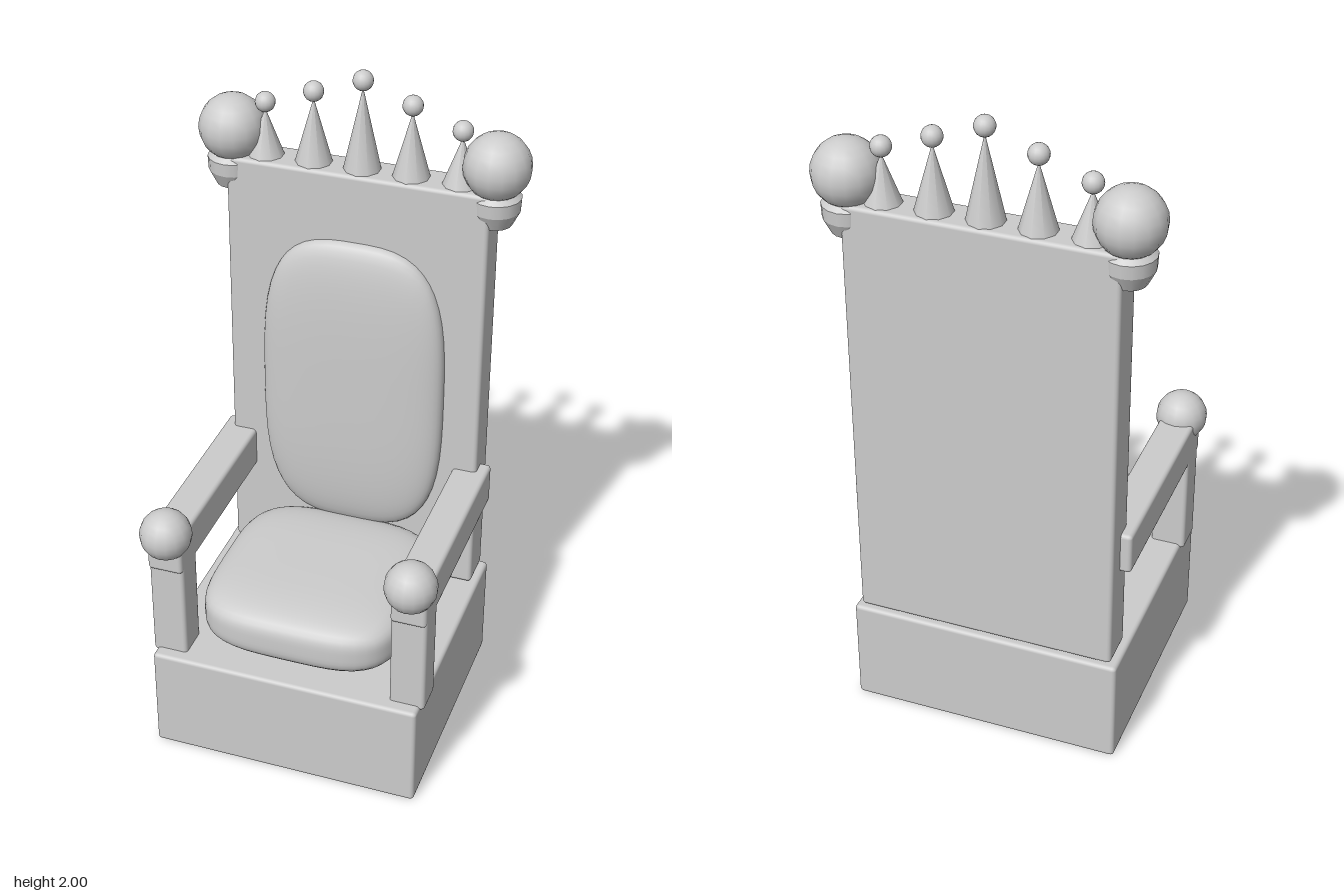
import * as THREE from 'three';
import { mergeVertices } from 'three/addons/utils/BufferGeometryUtils.js';
import { RoundedBoxGeometry } from 'three/addons/geometries/RoundedBoxGeometry.js';

const stone = new THREE.MeshStandardMaterial({ color: 0xcccccc });
stone.name = 'stoneGrey';

export function createModel() {
  const throne = new THREE.Group();
  throne.name = 'throne';

  const add = (name, geometry, x = 0, y = 0, z = 0) => {
    const mesh = new THREE.Mesh(geometry, stone);
    mesh.name = name;
    mesh.position.set(x, y, z);
    throne.add(mesh);
    return mesh;
  };

  // Softly bevelled block given by its extents
  const block = (name, [x0, x1], [y0, y1], [z0, z1], bevel = 0.012) =>
    add(name, new RoundedBoxGeometry(x1 - x0, y1 - y0, z1 - z0, 2, bevel),
      (x0 + x1) / 2, (y0 + y1) / 2, (z0 + z1) / 2);

  const ball = (name, r, x, y, z) => add(name, new THREE.SphereGeometry(r, 16, 12), x, y, z);

  // Plump cushion: a cube inflated to a superellipsoid with half sizes rx, ry, rz
  const cushion = (name, rx, ry, rz, n, x, y, z) => {
    let g = new THREE.BoxGeometry(2, 2, 2, 14, 14, 14);
    g.deleteAttribute('uv');
    g.deleteAttribute('normal');
    g = mergeVertices(g);
    const p = g.attributes.position;
    const v = new THREE.Vector3();
    for (let i = 0; i < p.count; i++) {
      v.fromBufferAttribute(p, i);
      const norm = (Math.abs(v.x) ** n + Math.abs(v.y) ** n + Math.abs(v.z) ** n) ** (1 / n);
      v.divideScalar(norm);
      p.setXYZ(i, v.x * rx, v.y * ry, v.z * rz);
    }
    g.computeVertexNormals();
    add(name, g, x, y, z);
  };

  // Plinth and tall back
  block('base', [-0.415, 0.415], [0, 0.34], [-0.39, 0.39]);
  block('backPanel', [-0.395, 0.395], [0.347, 1.7], [-0.38, -0.255]);

  // Upholstery
  cushion('seatCushion', 0.315, 0.095, 0.315, 3.8, 0, 0.455, 0.045);
  cushion('backCushion', 0.285, 0.49, 0.07, 3.2, 0, 1.0, -0.265);

  const backZ = -0.317;
  for (const [side, s] of [['left', 1], ['right', -1]]) {
    // Arm, front post and knob
    const armX = s > 0 ? [0.32, 0.428] : [-0.428, -0.32];
    block(side + 'ArmRest', armX, [0.64, 0.77], [-0.315, 0.36]);
    block(side + 'ArmPost', armX, [0.325, 0.7], [0.245, 0.35]);
    ball(side + 'ArmKnob', 0.078, s * 0.374, 0.765, 0.338);

    // Corner finial: flared collar under a large ball
    const profile = [[0, 1.594], [0.05, 1.594], [0.05, 1.594], [0.073, 1.64],
      [0.073, 1.64], [0.075, 1.68], [0.075, 1.68], [0.045, 1.71]]
      .map(([r, y]) => new THREE.Vector2(r, y));
    add(side + 'FinialCollar', new THREE.LatheGeometry(profile, 16), s * 0.397, 0, backZ);
    ball(side + 'FinialBall', 0.099, s * 0.397, 1.771, backZ);
  }

  // Crown of spikes, tallest in the middle
  for (let i = -2; i <= 2; i++) {
    const tip = 1.95 - 0.054 * Math.abs(i);
    const height = tip - 1.695;
    add('crownSpike', new THREE.ConeGeometry(0.056, height, 10), i * 0.147, 1.695 + height / 2, backZ);
    ball('crownBead', 0.03, i * 0.147, tip + 0.02, backZ);
  }

  return throne;
}
